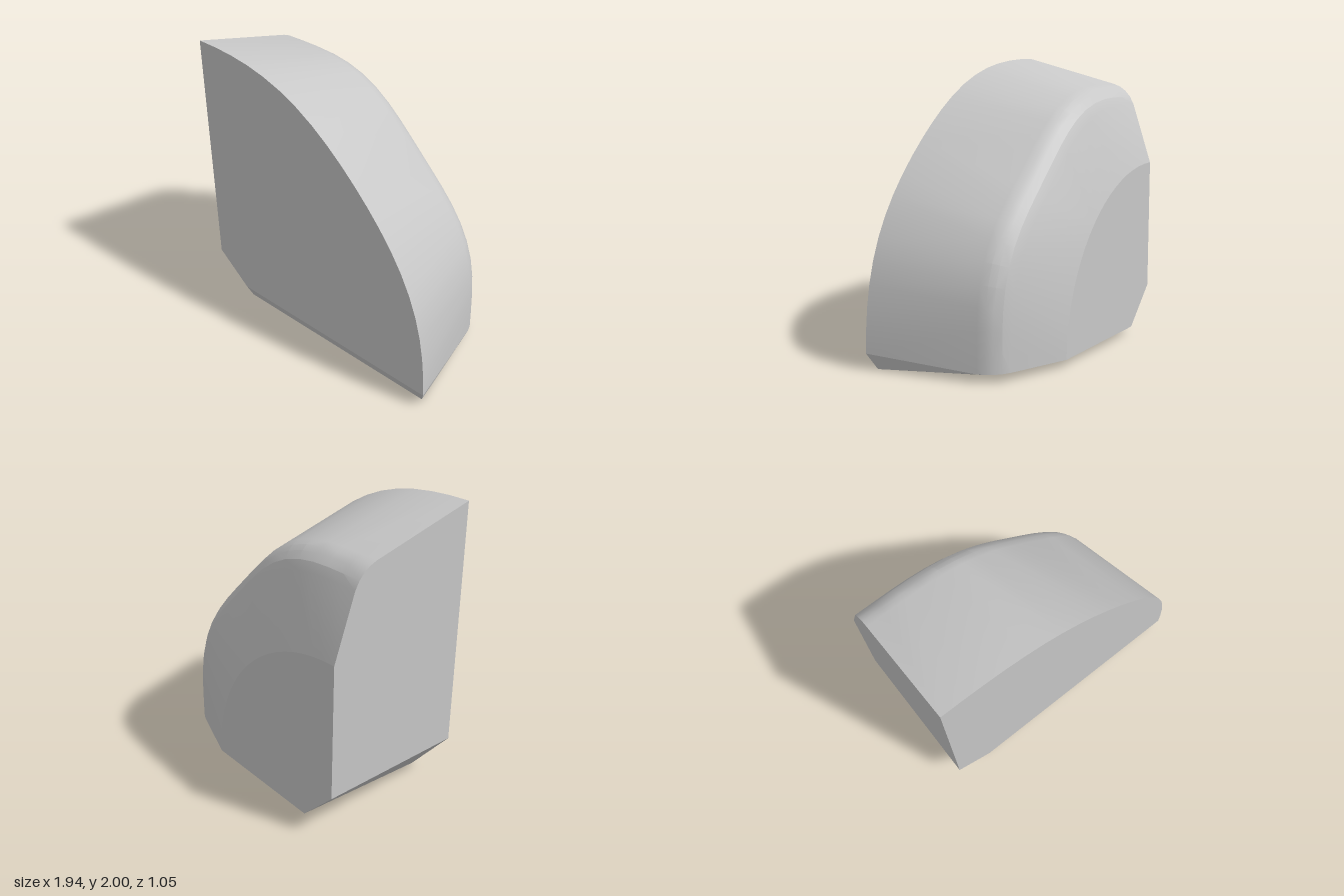
import * as THREE from 'three';
import { ConvexGeometry } from 'three/addons/geometries/ConvexGeometry.js';
import { toCreasedNormals } from 'three/addons/utils/BufferGeometryUtils.js';

const AXIS_X = -0.973; // the quarter dome turns about this line
const AXIS_Y = 0.057;
const FRONT = 0.525;
const STEPS = 20;

// depth, radius and shoulder bulge of the quarter dome, front to back
const RINGS = [
  [FRONT, 1.943, 0.012],
  [-0.22, 1.753, 0.033],
  [-0.27, 1.733, 0.033],
  [-0.31, 1.706, 0.033],
  [-0.35, 1.663, 0.033],
  [-0.38, 1.608, 0.03],
  [-FRONT, 1.183, 0],
];

export function createModel() {
  const grey = new THREE.MeshStandardMaterial({ color: 0xc8c8c8 });
  grey.name = 'light grey';

  const points = [];
  // quarter arcs of the shell, slightly flattened towards both ends
  for (const [z, radius, bulge] of RINGS) {
    const start = z === FRONT ? Math.asin(0.05 / radius) : 0;
    for (let i = 0; i <= STEPS; i++) {
      const a = THREE.MathUtils.lerp(start, Math.PI / 2, i / STEPS);
      const r = radius * (1 + bulge * Math.sin(4 * a) ** 2);
      points.push(new THREE.Vector3(AXIS_X + r * Math.cos(a), AXIS_Y + r * Math.sin(a), z));
    }
  }
  // bevelled base and the cut lower corner
  for (const [x, y, z] of [
    [AXIS_X, 0.32, FRONT], [AXIS_X, 0.315, -FRONT],
    [-0.71, 0.107, FRONT], [-0.71, 0, 0.47], [-0.715, 0.05, -FRONT],
    [0.92, 0, 0.47], [0.21, 0.05, -FRONT],
  ]) points.push(new THREE.Vector3(x, y, z));

  const block = new THREE.Mesh(toCreasedNormals(new ConvexGeometry(points), 0.25), grey);
  block.name = 'quarterDomeBlock';

  const group = new THREE.Group();
  group.name = 'quarterDome';
  group.add(block);
  return group;
}
